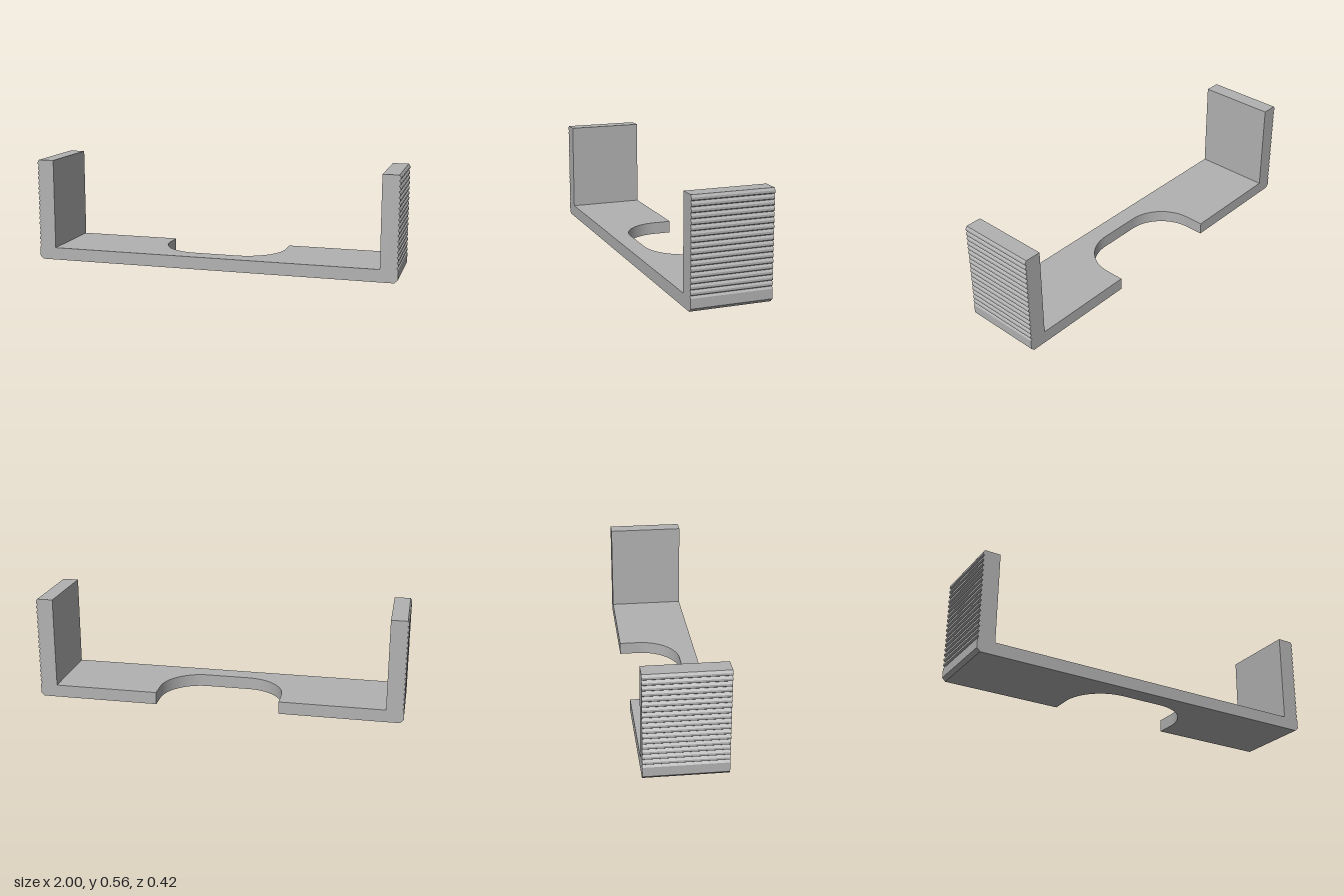
import * as THREE from 'three';

const DEPTH = 0.422, FLOOR = 0.068, INNER = 0.906, HEIGHT = 0.561;

// Side wall outline: chamfered foot, smooth base band, then a sawtooth grip
function wallShape() {
  const chamfer = 0.018, pitch = 0.02825, bite = 0.008, teeth = 17;
  const s = new THREE.Shape();
  s.moveTo(INNER, 0);
  s.lineTo(1 - chamfer, 0);
  s.lineTo(1, chamfer);
  s.lineTo(1, FLOOR);
  for (let i = 0; i < teeth; i++) {
    const y = FLOOR + i * pitch;
    s.lineTo(1 - bite, y + 0.0115); // slope inward
    s.lineTo(1, y + 0.017); // undercut back out
    s.lineTo(1, y + pitch); // flat crest
  }
  s.lineTo(1 - bite, HEIGHT);
  s.lineTo(INNER, HEIGHT);
  s.closePath();
  return s;
}

// Floor outline in x and z, with a rounded bay open at the back
function floorShape() {
  const h = DEPTH / 2, w = 0.338, r = 0.222, end = 0.112;
  const s = new THREE.Shape();
  s.moveTo(-INNER, h);
  s.lineTo(-INNER, -h);
  s.lineTo(-w, -h);
  s.lineTo(-w, end - r);
  s.absarc(-w + r, end - r, r, Math.PI, Math.PI / 2, true);
  s.lineTo(w - r, end);
  s.absarc(w - r, end - r, r, Math.PI / 2, 0, true);
  s.lineTo(w, -h);
  s.lineTo(INNER, -h);
  s.lineTo(INNER, h);
  s.closePath();
  return s;
}

export function createModel() {
  const group = new THREE.Group();
  group.name = 'bracket';
  const grey = new THREE.MeshStandardMaterial({ color: 0xb2b2b2 });
  grey.name = 'grey';

  // Floor plate
  const floorGeo = new THREE.ExtrudeGeometry(floorShape(), { depth: FLOOR, bevelEnabled: false, curveSegments: 24 });
  floorGeo.rotateX(Math.PI / 2).translate(0, FLOOR, 0);
  const floor = new THREE.Mesh(floorGeo, grey);
  floor.name = 'floorPlate';
  group.add(floor);

  // Two ridged side walls, the second turned half way round
  const wallGeo = new THREE.ExtrudeGeometry(wallShape(), { depth: DEPTH, bevelEnabled: false });
  wallGeo.translate(0, 0, -DEPTH / 2);
  for (const [name, turn] of [['leftRidgedWall', 0], ['rightRidgedWall', Math.PI]]) {
    const wall = new THREE.Mesh(wallGeo, grey);
    wall.name = name;
    wall.rotation.y = turn;
    group.add(wall);
  }
  return group;
}
